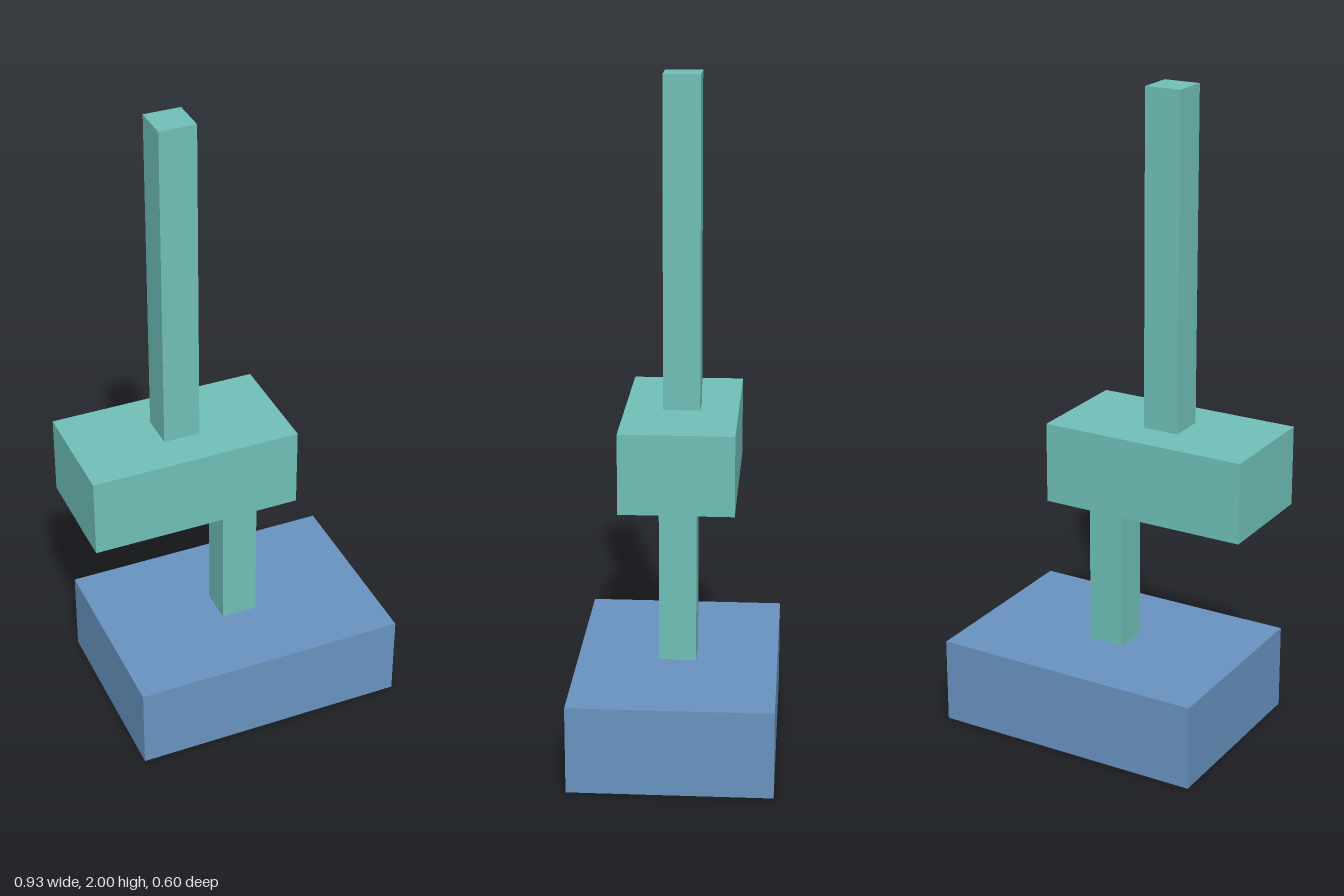
import * as THREE from 'three';

export function createModel() {
  const model = new THREE.Group();
  const blue = new THREE.MeshStandardMaterial({ name: 'blue', color: 0x6893c0 });
  const teal = new THREE.MeshStandardMaterial({ name: 'teal', color: 0x70c0b8 });

  // Box given by its x range, y range and depth, centred on z = 0
  function addBox(name, material, [x0, x1], [y0, y1], depth) {
    const mesh = new THREE.Mesh(new THREE.BoxGeometry(x1 - x0, y1 - y0, depth), material);
    mesh.position.set((x0 + x1) / 2, (y0 + y1) / 2, 0);
    mesh.name = name;
    model.add(mesh);
  }

  addBox('base', blue, [-0.383, 0.467], [0, 0.265], 0.602);
  addBox('lowerPost', teal, [-0.016, 0.095], [0.265, 0.75], 0.112);
  addBox('middleBlock', teal, [-0.467, 0.172], [0.75, 0.995], 0.344);
  addBox('upperPost', teal, [-0.203, -0.092], [0.995, 2], 0.112);

  return model;
}
